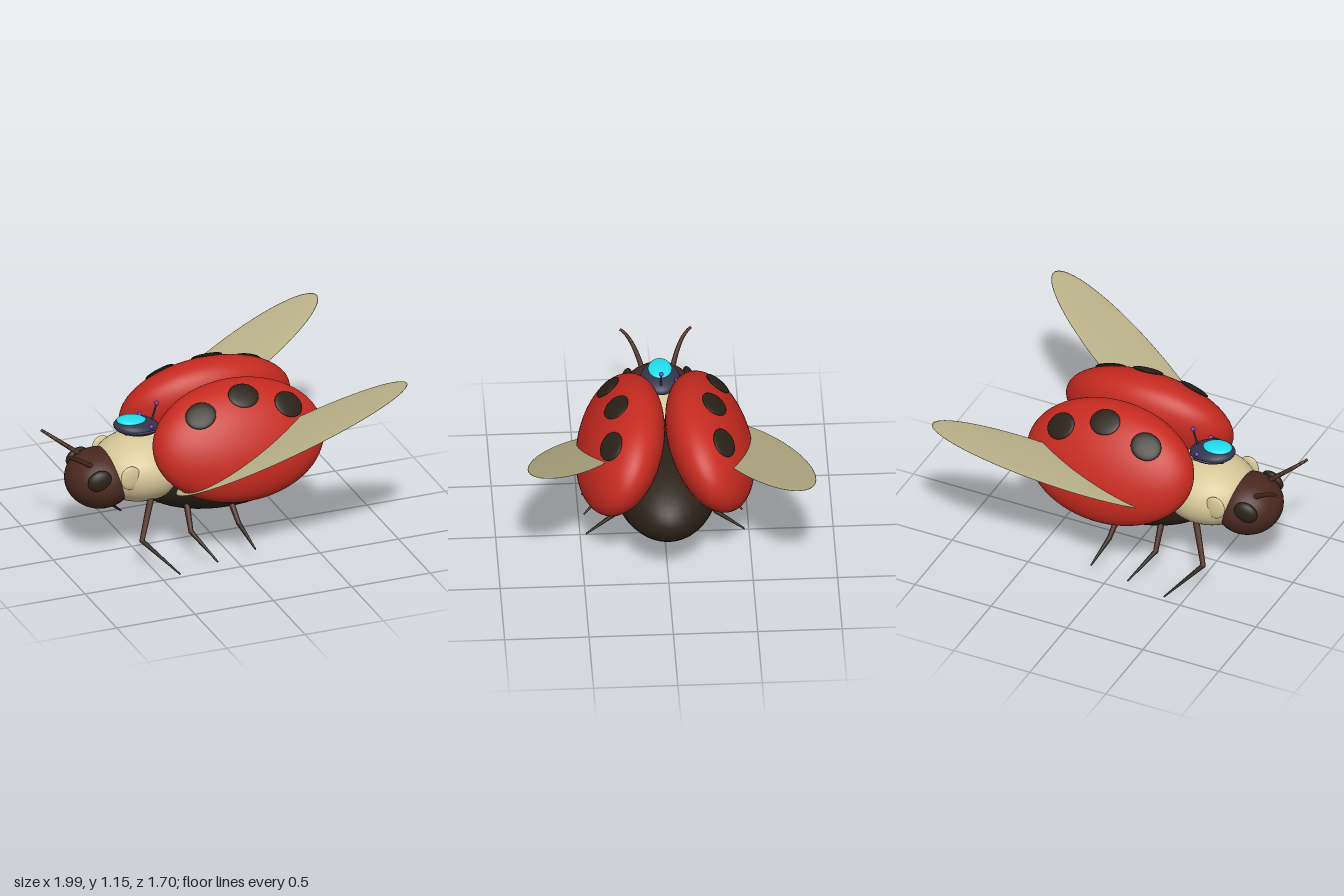
import * as THREE from 'three';

const mat = (color) => new THREE.MeshStandardMaterial({ color });
const RED = mat(0xc62a20), BLACK = mat(0x2a2118), BROWN = mat(0x4a2820), TAN = mat(0xd6c698),
  WING = mat(0xb8b088), NAVY = mat(0x32364c), CYAN = mat(0x22dcee), PURPLE = mat(0x7a35c0);
const V = (x, y, z) => new THREE.Vector3(x, y, z);

export function createModel() {
  const model = new THREE.Group();
  model.name = 'flyingBeetle';

  const add = (name, geometry, material, parent = model) => {
    const mesh = new THREE.Mesh(geometry, material);
    mesh.name = name;
    parent.add(mesh);
    return mesh;
  };
  const ellipsoid = (name, material, pos, radii, parent = model, detail = 40) => {
    const geometry = new THREE.SphereGeometry(1, detail, Math.round(detail * 0.6)).scale(...radii);
    const mesh = add(name, geometry, material, parent);
    mesh.position.set(...pos);
    return mesh;
  };
  // Tapered rod between two points
  const rod = (name, material, a, b, ra, rb) => {
    const dir = b.clone().sub(a);
    const mesh = add(name, new THREE.CylinderGeometry(rb, ra, dir.length(), 10), material);
    mesh.position.copy(a).addScaledVector(dir, 0.5);
    mesh.quaternion.setFromUnitVectors(V(0, 1, 0), dir.normalize());
    return mesh;
  };

  // Body
  ellipsoid('abdomen', BLACK, [0.05, 0.455, 0], [0.55, 0.25, 0.32]);
  ellipsoid('thorax', TAN, [-0.45, 0.535, 0], [0.3, 0.208, 0.27]);
  ellipsoid('head', BROWN, [-0.71, 0.495, 0], [0.205, 0.178, 0.217]);

  // Wings: thin discs spanned by a long half-axis u and a short half-axis v
  const wing = (name, center, u, v) => {
    const n = u.clone().cross(v).normalize().multiplyScalar(v.z < 0 ? -0.01 : 0.01);
    const basis = new THREE.Matrix4().makeBasis(u, n, v);
    if (basis.determinant() < 0) basis.makeBasis(u, n.negate(), v);
    const mesh = add(name, new THREE.SphereGeometry(1, 56, 20).applyMatrix4(basis), WING);
    mesh.position.copy(center);
  };
  wing('leftWing', V(0.3, 0.81, 0.546), V(0.65, 0.345, 0.208), V(0, 0.02, 0.22));
  wing('rightWing', V(0.33, 0.795, -0.55), V(0.665, 0.242, -0.22), V(0, 0.03, -0.213));

  // Foot, knee and hip of each leg
  const legs = [
    ['frontLeg', [-0.44, 0.42, 0.17], [-0.56, 0.19, 0.31], [-0.38, 0.008, 0.47]],
    ['middleLeg', [-0.23, 0.36, 0.18], [-0.245, 0.19, 0.305], [-0.14, 0.046, 0.47]],
    ['hindLeg', [0.035, 0.35, 0.18], [0.06, 0.19, 0.305], [0.1, 0.085, 0.47]],
  ];
  const spots = [[-0.215, 0.25, 0.065], [0.095, 0.3, 0.025], [0.39, 0.23, 0.075]];
  const shell = [0.537, 0.369, 0.222];

  for (const s of [1, -1]) {
    const side = s > 0 ? 'left' : 'right';
    const P = (p) => V(p[0], p[1], p[2] * s);

    // Raised wing case, with spots lying on its surface
    const wingCase = new THREE.Group();
    wingCase.name = side + 'WingCase';
    wingCase.position.set(0.072, 0.72, 0.266 * s);
    wingCase.rotation.x = -0.506 * s;
    model.add(wingCase);
    ellipsoid('shell', RED, [0, 0, 0], shell, wingCase, 56);
    const radii = V(...shell);
    for (const [x, y, z] of spots) {
      const p = V(x - 0.072, y, z * s).applyAxisAngle(V(1, 0, 0), 0.506 * s);
      p.divideScalar(p.clone().divide(radii).length());
      const normal = p.clone().divide(radii).divide(radii).normalize();
      const spot = ellipsoid('spot', BLACK, p.toArray(), [0.094, 0.016, 0.084], wingCase, 28);
      spot.quaternion.setFromUnitVectors(V(0, 1, 0), normal);
    }

    // Eye and shoulder knob
    const eye = ellipsoid(side + 'Eye', BLACK, [-0.778, 0.562, 0.182 * s], [0.075, 0.06, 0.032], model, 28);
    eye.rotation.set(-0.15 * s, -0.15 * s, 0.4);
    ellipsoid(side + 'Shoulder', TAN, [-0.6, 0.572, 0.23 * s], [0.063, 0.075, 0.02], model, 28);

    // Antenna, swept outward in tapering pieces
    const curve = new THREE.QuadraticBezierCurve3(
      P([-0.79, 0.62, 0.09]), P([-0.95, 0.74, 0.14]), P([-0.993, 0.763, 0.21]));
    const pts = curve.getPoints(8);
    for (let i = 0; i < 8; i++) {
      rod(side + 'Antenna', BROWN, pts[i], pts[i + 1], 0.016 - i * 0.001, 0.015 - i * 0.001);
    }

    // Legs
    for (const [name, hip, knee, foot] of legs) {
      rod(side + name + 'Upper', BROWN, P(hip), P(knee), 0.021, 0.015);
      ellipsoid(side + name + 'Knee', BROWN, P(knee).toArray(), [0.016, 0.016, 0.016], model, 12);
      rod(side + name + 'Lower', BLACK, P(knee), P(foot), 0.015, 0.005);
    }

    // Rider's side arm with a bead at its end
    const arm = new THREE.CatmullRomCurve3(
      [[-0.57, 0.78, 0.06], [-0.5, 0.79, 0.112], [-0.4, 0.795, 0.122]].map(P));
    add(side + 'RiderArm', new THREE.TubeGeometry(arm, 12, 0.007, 8), NAVY);
    ellipsoid(side + 'RiderBead', PURPLE, [-0.413, 0.815, 0.094 * s], [0.014, 0.014, 0.014], model, 14);
  }

  // Small domed rider on the thorax
  const body = ellipsoid('riderBody', NAVY, [-0.472, 0.792, 0], [0.14, 0.05, 0.115]);
  body.rotation.z = -0.12;
  const dome = ellipsoid('riderDome', CYAN, [-0.505, 0.835, 0], [0.09, 0.023, 0.07]);
  dome.rotation.z = -0.06;
  rod('riderMast', NAVY, V(-0.375, 0.8, 0), V(-0.342, 0.915, 0), 0.007, 0.005);
  ellipsoid('riderMastBead', PURPLE, [-0.342, 0.916, 0], [0.014, 0.014, 0.014], model, 14);

  return model;
}
